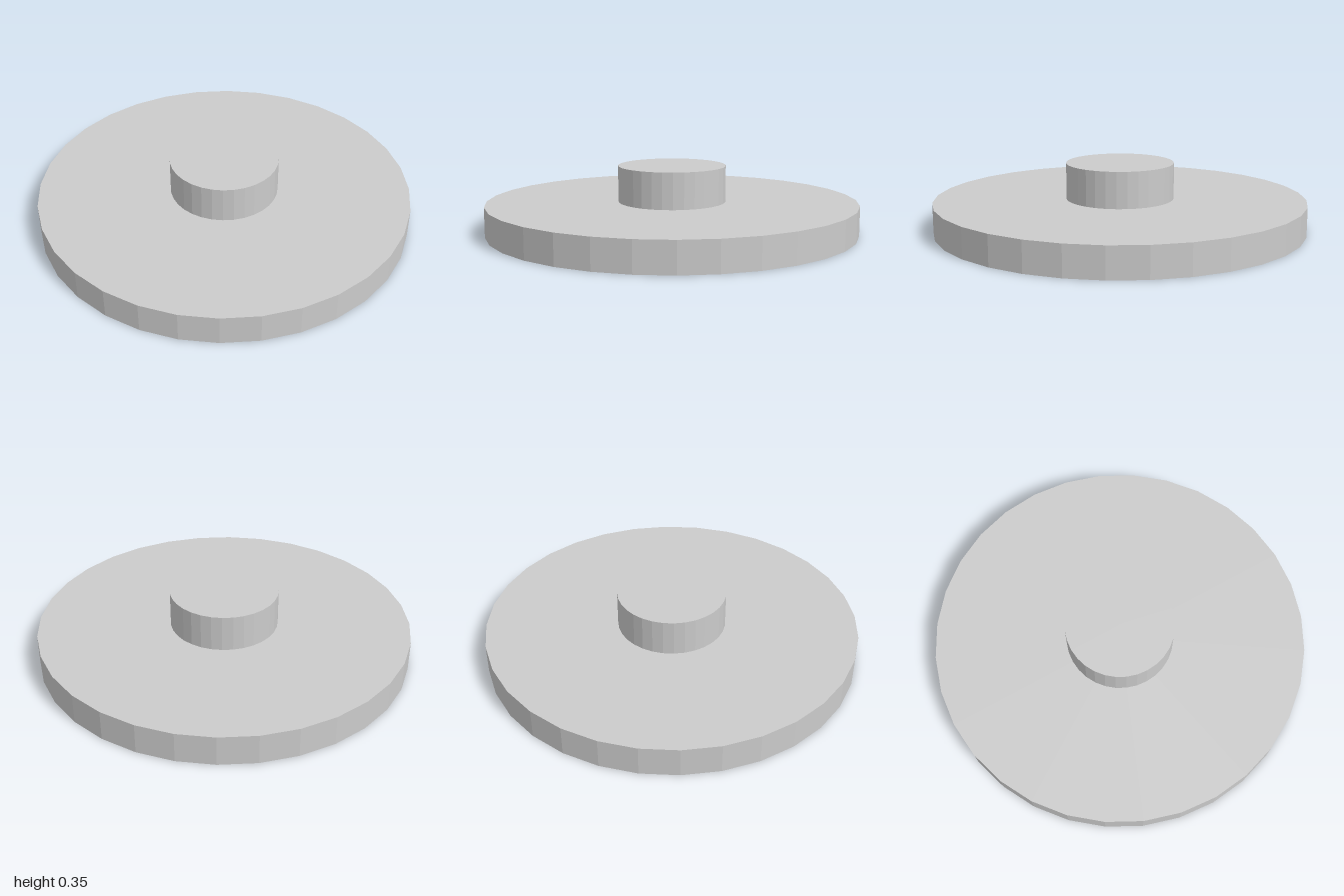
import * as THREE from 'three';

const SIDES = 32;

export function createModel() {
  const group = new THREE.Group();
  const material = new THREE.MeshStandardMaterial({ color: 0xcccccc, flatShading: true });

  // Upright faceted disc standing on the given height
  function addDisc(name, radius, bottom, top) {
    const geometry = new THREE.CylinderGeometry(radius, radius, top - bottom, SIDES);
    const mesh = new THREE.Mesh(geometry, material);
    mesh.name = name;
    mesh.position.y = (bottom + top) / 2;
    group.add(mesh);
  }

  addDisc('baseDisc', 1, 0, 0.16); // wide flat plate
  addDisc('hub', 0.29, 0.16, 0.354); // raised centre boss

  return group;
}
